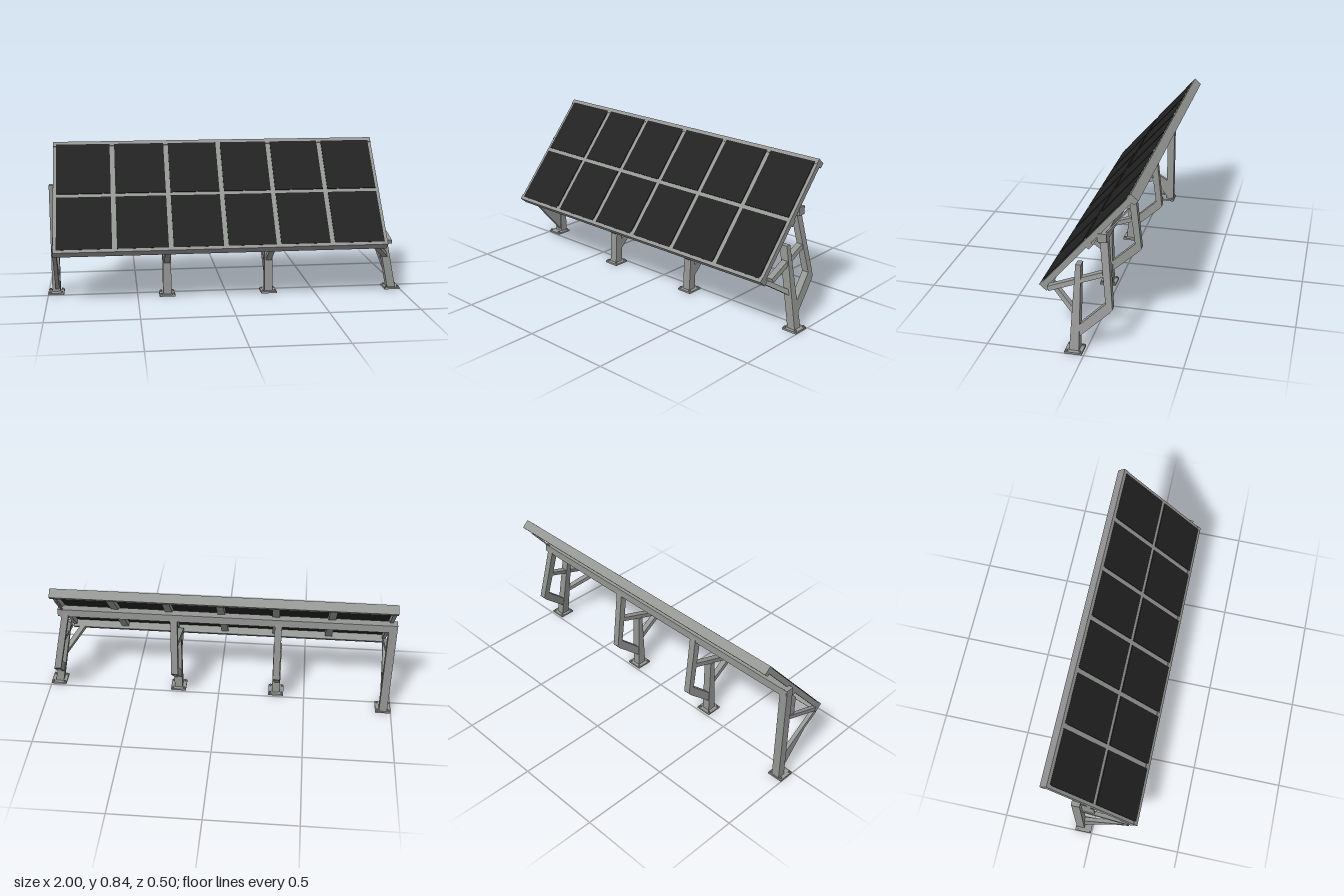
import * as THREE from 'three';

export function createModel() {
  const model = new THREE.Group();
  const steel = new THREE.MeshStandardMaterial({ color: 0x959795 });
  steel.name = 'grey steel';
  const dark = new THREE.MeshStandardMaterial({ color: 0x222222 });
  dark.name = 'dark solar cell';

  function box(parent, name, mat, w, h, d, x, y, z) {
    const mesh = new THREE.Mesh(new THREE.BoxGeometry(w, h, d), mat);
    mesh.name = name;
    mesh.position.set(x, y, z);
    parent.add(mesh);
    return mesh;
  }

  // Side outline given as [z, y] points, given a thickness along x.
  // lean shifts x with height; splay shifts x with z.
  function sidePlate(parent, name, pts, width, x, lean = 0, splay = 0) {
    const shape = new THREE.Shape(pts.map(p => new THREE.Vector2(p[0], p[1])));
    const geo = new THREE.ExtrudeGeometry(shape, { depth: width, bevelEnabled: false });
    geo.rotateY(-Math.PI / 2).translate(x + width / 2, 0, 0);
    const pos = geo.attributes.position;
    for (let i = 0; i < pos.count; i++) {
      pos.setX(i, pos.getX(i) + lean * pos.getY(i) + splay * Math.max(0, pos.getZ(i) - 0.06));
    }
    geo.computeVertexNormals();
    const mesh = new THREE.Mesh(geo, steel);
    mesh.name = name;
    parent.add(mesh);
  }

  // Four-corner outline of a straight bar between two [z, y] points
  function bar(a, b, t) {
    const dz = b[0] - a[0], dy = b[1] - a[1], k = t / 2 / Math.hypot(dz, dy);
    const nz = -dy * k, ny = dz * k;
    return [[a[0] + nz, a[1] + ny], [a[0] - nz, a[1] - ny],
      [b[0] - nz, b[1] - ny], [b[0] + nz, b[1] + ny]];
  }

  // Base plate with four bolts
  function foot(parent, x, z) {
    box(parent, 'footPlate', steel, 0.088, 0.01, 0.09, x, 0.005, z);
    for (const sx of [-1, 1]) for (const sz of [-1, 1]) {
      const bolt = new THREE.Mesh(new THREE.CylinderGeometry(0.006, 0.006, 0.009, 6), steel);
      bolt.name = 'footBolt';
      bolt.position.set(x + sx * 0.033, 0.0135, z + sz * 0.034);
      parent.add(bolt);
    }
  }

  // Tilted panel: local y runs up the slope, local z = 0 is the front surface
  const panel = new THREE.Group();
  panel.name = 'tiltedPanel';
  panel.position.set(0, 0.5725, 0.0225);
  panel.rotation.x = -0.7155;
  model.add(panel);

  const left = 0.88, right = -0.955, mid = (left + right) / 2, span = left - right;
  box(panel, 'bottomRail', steel, span, 0.03, 0.05, mid, -0.3395, -0.025);
  box(panel, 'topRail', steel, span, 0.03, 0.05, mid, 0.3395, -0.025);
  box(panel, 'middleRail', steel, span, 0.035, 0.045, mid, 0, -0.0265);

  const dividers = [-0.945, -0.625, -0.32, -0.02, 0.27, 0.57, 0.87];
  dividers.forEach((x, i) => {
    const end = i === 0 || i === dividers.length - 1;
    const w = end ? 0.02 : 0.04;
    box(panel, 'columnBar', steel, w, 0.66, 0.03, x, 0, -0.019);
  });

  // Two rows of thin cells
  for (let i = 0; i < 6; i++) {
    const a = dividers[i] + (i ? 0.013 : 0.008);
    const b = dividers[i + 1] - (i < 5 ? 0.013 : 0.008);
    for (const y of [-0.1745, 0.1725]) {
      box(panel, 'solarCell', dark, b - a, 0.325, 0.009, (a + b) / 2, y, -0.0035);
    }
  }

  // Beam behind the panel
  box(model, 'rearBeam', steel, 1.86, 0.045, 0.045, -0.045, 0.597, -0.07);

  // Legs with a bent rear arm
  const bentArm = [[0.045, 0.07], [-0.118, 0.218], [-0.131, 0.235], [-0.092, 0.6],
    [-0.052, 0.6], [-0.095, 0.26], [0.045, 0.13]];
  function bentLeg(name, x, lean, postTop, splay) {
    const leg = new THREE.Group();
    leg.name = name;
    model.add(leg);
    foot(leg, x, 0.055);
    sidePlate(leg, 'post', [[0.08, 0.005], [0.03, 0.005], [0.034, postTop], [0.062, postTop]], 0.046, x, lean);
    sidePlate(leg, 'rearArm', bentArm, 0.038, x, lean);
    sidePlate(leg, 'upperStrut', bar([0.2, 0.305], [-0.075, 0.405], 0.024), 0.034, x, lean);
    sidePlate(leg, 'frontBrace', bar([0.06, 0.195], [0.2, 0.29], 0.026), 0.032, x, lean, splay);
  }
  bentLeg('rightMiddleLeg', -0.335, 0, 0.35, 0);
  bentLeg('leftMiddleLeg', 0.24, 0, 0.35, 0);
  bentLeg('leftEndLeg', 0.956, -0.19, 0.445, -0.55);

  // Straight end leg
  const endLeg = new THREE.Group();
  endLeg.name = 'rightEndLeg';
  model.add(endLeg);
  foot(endLeg, -0.956, -0.05);
  box(endLeg, 'post', steel, 0.046, 0.615, 0.044, -0.956, 0.3125, -0.068);
  sidePlate(endLeg, 'lowerBrace', [[-0.05, 0.02], [-0.05, 0.13], [0.19, 0.295], [0.21, 0.28], [0.125, 0.225]], 0.022, -0.95);
  sidePlate(endLeg, 'upperStrut', bar([0.2, 0.305], [-0.06, 0.405], 0.022), 0.022, -0.95);
  sidePlate(endLeg, 'gusset', [[0.02, 0.38], [-0.06, 0.405], [-0.06, 0.59], [0.02, 0.5]], 0.01, -0.95);

  // Thin stay from the beam up to the top of the panel
  sidePlate(model, 'topStay', bar([-0.085, 0.615], [-0.2, 0.755], 0.008), 0.01, 0.86);

  return model;
}
